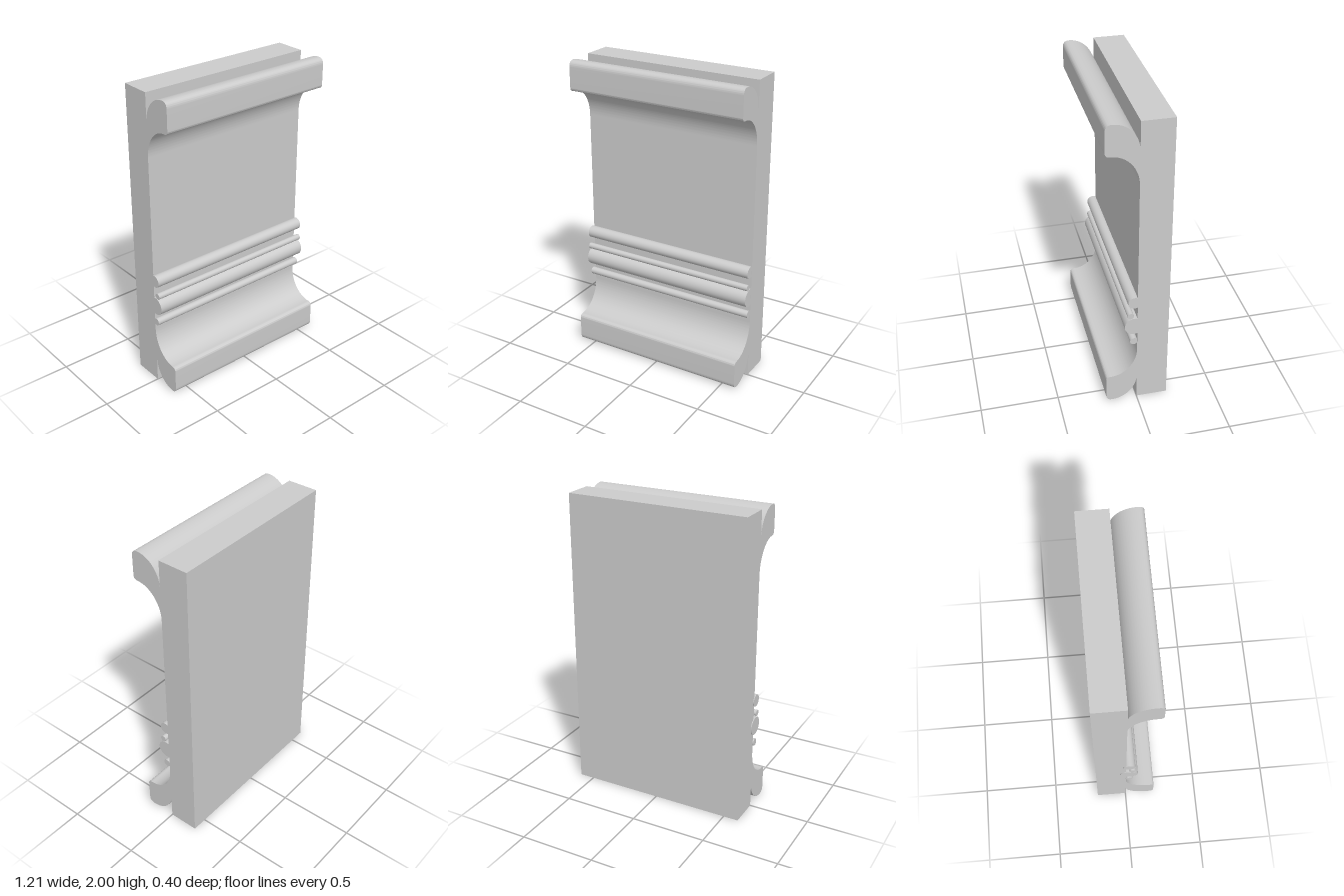
import * as THREE from 'three';
import { toCreasedNormals } from 'three/addons/utils/BufferGeometryUtils.js';

const WIDTH = 1.2;

export function createModel() {
  const group = new THREE.Group();
  const material = new THREE.MeshStandardMaterial({ color: 0xcccccc });

  const add = (name, geometry, x, y, z) => {
    const mesh = new THREE.Mesh(geometry, material);
    mesh.name = name;
    mesh.position.set(x, y, z);
    group.add(mesh);
    return mesh;
  };

  // Flat backing slab
  add('slab', new THREE.BoxGeometry(WIDTH, 2, 0.2), 0, 1, -0.1);

  // Lip moulding profile (shape x = depth z): quarter-round, rounded lip, cove
  const profile = new THREE.Shape();
  profile.moveTo(-0.05, 0.18);
  profile.lineTo(0, 0.18);
  profile.absellipse(0.16, 0.18, 0.16, 0.176, Math.PI, Math.PI * 1.5, false);
  profile.quadraticCurveTo(0.2, 0.004, 0.2, 0.044);
  profile.lineTo(0.2, 0.175);
  profile.quadraticCurveTo(0.2, 0.2, 0.17, 0.2);
  profile.absellipse(0.17, 0.4, 0.17, 0.2, -Math.PI / 2, -Math.PI, true);
  profile.lineTo(-0.05, 0.4);
  profile.closePath();

  const extruded = new THREE.ExtrudeGeometry(profile, { depth: WIDTH, bevelEnabled: false, curveSegments: 24 });
  extruded.translate(0, 0, -WIDTH / 2).rotateY(-Math.PI / 2);
  const moulding = toCreasedNormals(extruded, 0.5);

  add('bottomMoulding', moulding, 0, 0, 0);
  add('topMoulding', moulding, 0, 2, 0).rotation.z = Math.PI;

  // Round beads across the front, standing slightly proud of the right edge
  const beads = [
    ['upperBead', 0.767, 0.02, 0.04],
    ['thinBead', 0.668, 0.043, 0.02],
    ['largeBead', 0.587, 0.02, 0.06],
    ['lowerBead', 0.468, 0.022, 0.024],
  ];
  for (const [name, y, z, radius] of beads) {
    const rod = new THREE.CylinderGeometry(radius, radius, WIDTH + 0.004, 40).rotateZ(Math.PI / 2);
    add(name, rod, -0.003, y, z);
  }

  return group;
}
